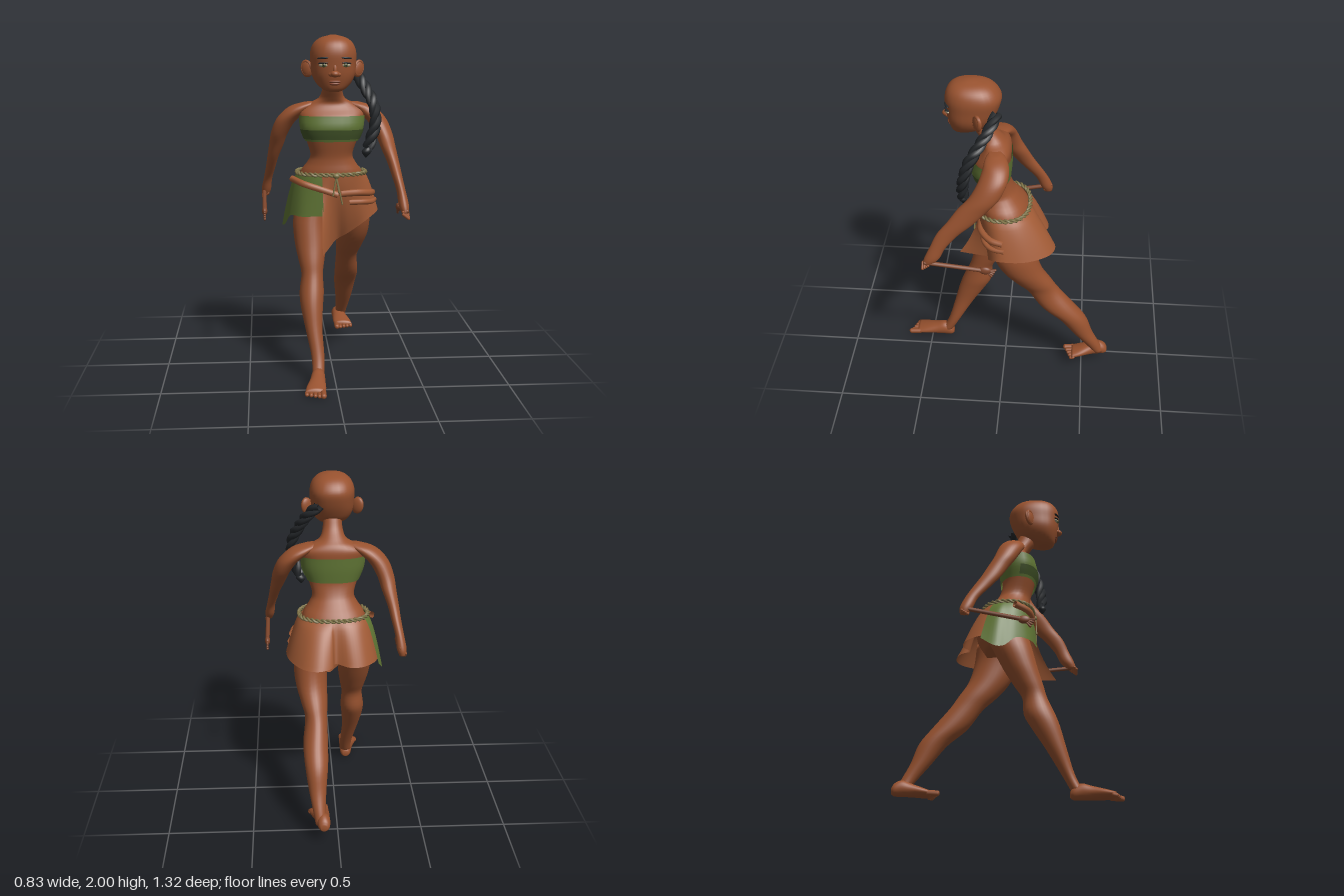
import * as THREE from 'three';

const mat = (name, color, side = THREE.FrontSide) => {
  const m = new THREE.MeshStandardMaterial({ color, side });
  m.name = name;
  return m;
};
const V = (x, y, z) => new THREE.Vector3(x, y, z);
const smooth = (pts, closed = false) => new THREE.CatmullRomCurve3(pts, closed, 'catmullrom', 0.5);
const bend = (c, power) => Math.sign(c) * Math.abs(c) ** (2 / power);

// Indexed grid of points, optionally flipped
function grid(rings, flip = false) {
  const n = rings[0].length, pos = [], idx = [];
  rings.forEach(r => r.forEach(p => pos.push(p.x, p.y, p.z)));
  for (let i = 0; i < rings.length - 1; i++) for (let j = 0; j < n - 1; j++) {
    const a = i * n + j, b = a + n;
    if (flip) idx.push(a, a + 1, b, b, a + 1, b + 1);
    else idx.push(a, b, a + 1, b, b + 1, a + 1);
  }
  const g = new THREE.BufferGeometry();
  g.setAttribute('position', new THREE.Float32BufferAttribute(pos, 3));
  g.setIndex(idx);
  g.computeVertexNormals();
  // Average normals across the seam of closed rings
  const N = g.attributes.normal;
  rings.forEach((r, i) => {
    if (r[0].distanceTo(r[n - 1]) > 1e-5) return;
    const a = i * n, b = a + n - 1;
    const v = V(N.getX(a) + N.getX(b), N.getY(a) + N.getY(b), N.getZ(a) + N.getZ(b)).normalize();
    N.setXYZ(a, v.x, v.y, v.z);
    N.setXYZ(b, v.x, v.y, v.z);
  });
  return g;
}

// Smooth loft through rows [x, y, z, radiusA, radiusB]; sections lie across y, or across z
function loft(rows, { axis = 'y', power = 2, caps = true, start = 0, span = Math.PI * 2 } = {}) {
  const steps = (rows.length - 1) * 4, segs = 28, rings = [];
  const mid = smooth(rows.map(r => V(r[0], r[1], r[2])));
  const rad = smooth(rows.map(r => V(r[3], r[4], 0)));
  const ring = (t, k) => {
    const c = mid.getPoint(t), s = rad.getPoint(t), out = [];
    for (let j = 0; j <= segs; j++) {
      const a = start + j / segs * span;
      const u = bend(Math.cos(a), power) * s.x * k, w = bend(Math.sin(a), power) * s.y * k;
      out.push(axis === 'y' ? V(c.x + u, c.y, c.z + w) : V(c.x + u, c.y + w, c.z));
    }
    return out;
  };
  if (caps) rings.push(ring(0, 0.001));
  for (let i = 0; i <= steps; i++) rings.push(ring(i / steps, 1));
  if (caps) rings.push(ring(1, 0.001));
  return grid(rings, axis === 'z');
}

// Strands twisted around a path
function twist(group, name, m, pts, closed, strands, offset, radius, turns, steps) {
  const path = smooth(pts, closed), fr = path.computeFrenetFrames(steps, closed);
  for (let s = 0; s < strands; s++) {
    const line = [];
    for (let i = 0; i < steps + (closed ? 0 : 1); i++) {
      const a = (i / steps * turns + s / strands) * Math.PI * 2;
      line.push(path.getPointAt(i / steps)
        .addScaledVector(fr.normals[i], Math.cos(a) * offset)
        .addScaledVector(fr.binormals[i], Math.sin(a) * offset));
    }
    add(group, name, new THREE.TubeGeometry(smooth(line, closed), steps * 2, radius, 6, closed), m);
  }
}

function add(group, name, geo, m, p = [0, 0, 0], s = [1, 1, 1], r = [0, 0, 0]) {
  const mesh = new THREE.Mesh(geo, m);
  mesh.name = name;
  mesh.position.set(...p);
  mesh.scale.set(...s);
  mesh.rotation.set(...r);
  group.add(mesh);
  return mesh;
}

export function createModel() {
  const root = new THREE.Group();
  const skin = mat('skin', 0x98522f), leather = mat('leather', 0xa05a35, THREE.DoubleSide), wood = mat('dark brown', 0x7f462c);
  const green = mat('green cloth', 0x5f7434, THREE.DoubleSide), dark = mat('dark green cloth', 0x435529, THREE.DoubleSide);
  const rope = mat('rope', 0x7f7448), hair = mat('black hair', 0x24272a);
  const white = mat('eye white', 0xa39b80), iris = mat('iris', 0x66683a), lip = mat('lips', 0x86452d);
  const ball = new THREE.SphereGeometry(1, 20, 14);
  const rod = (name, a, b, r, m = skin, g = root) => {
    const d = b.clone().sub(a), mesh = add(g, name, new THREE.CapsuleGeometry(r, d.length(), 4, 8), m);
    mesh.position.copy(a).add(b).multiplyScalar(0.5);
    mesh.quaternion.setFromUnitVectors(V(0, 1, 0), d.normalize());
  };

  // Torso and neck
  add(root, 'torso', loft([
    [0, 0.93, -0.02, 0.14, 0.1], [0, 1.05, -0.03, 0.19, 0.15], [0, 1.18, 0.005, 0.188, 0.142], [0, 1.25, 0.03, 0.145, 0.115],
    [0, 1.3, 0.05, 0.125, 0.098], [0, 1.38, 0.073, 0.147, 0.095], [0, 1.46, 0.079, 0.177, 0.107], [0, 1.52, 0.072, 0.19, 0.105],
    [0, 1.57, 0.053, 0.192, 0.086], [0, 1.605, 0.052, 0.135, 0.072], [0, 1.635, 0.073, 0.078, 0.066], [0, 1.69, 0.115, 0.058, 0.06],
    [0, 1.76, 0.15, 0.055, 0.06]], { power: 2.2 }), skin);

  // Chest wrap with a darker fold across the front
  add(root, 'chestWrap', loft([[0, 1.385, 0.073, 0.157, 0.105], [0, 1.46, 0.08, 0.187, 0.119], [0, 1.535, 0.072, 0.195, 0.113]],
    { caps: false, power: 2.3 }), green);
  add(root, 'chestWrapFold', loft([[0, 1.398, 0.075, 0.167, 0.112], [0, 1.427, 0.078, 0.179, 0.118], [0, 1.455, 0.081, 0.189, 0.122]],
    { caps: false, power: 2.3, start: 0.03, span: Math.PI - 0.06 }), dark);

  // Head
  add(root, 'head', loft([
    [0, 1.682, 0.245, 0.03, 0.03], [0, 1.695, 0.235, 0.062, 0.065], [0, 1.73, 0.207, 0.1, 0.107], [0, 1.78, 0.195, 0.124, 0.132],
    [0, 1.84, 0.185, 0.13, 0.15], [0, 1.9, 0.18, 0.132, 0.158], [0, 1.95, 0.185, 0.115, 0.137], [0, 1.983, 0.19, 0.077, 0.095],
    [0, 2, 0.195, 0.02, 0.025]], { power: 2.3 }), skin);
  add(root, 'nose', ball, skin, [0, 1.785, 0.33], [0.026, 0.019, 0.027]);
  add(root, 'noseBridge', ball, skin, [0, 1.815, 0.322], [0.014, 0.04, 0.017], [-0.15, 0, 0]);
  add(root, 'upperLip', ball, lip, [0, 1.742, 0.313], [0.036, 0.009, 0.014]);
  add(root, 'lowerLip', ball, lip, [0, 1.729, 0.309], [0.03, 0.009, 0.014]);
  for (const s of [-1, 1]) {
    add(root, 'nostril', ball, skin, [s * 0.022, 1.782, 0.32], [0.014, 0.013, 0.018]);
    add(root, 'eyeWhite', ball, white, [s * 0.064, 1.833, 0.317], [0.027, 0.01, 0.013], [0, s * 0.3, 0]);
    add(root, 'iris', ball, iris, [s * 0.062, 1.833, 0.325], [0.014, 0.011, 0.008], [0, s * 0.3, 0]);
    add(root, 'pupil', ball, hair, [s * 0.062, 1.833, 0.33], [0.006, 0.006, 0.005], [0, s * 0.3, 0]);
    add(root, 'lashes', ball, hair, [s * 0.065, 1.845, 0.319], [0.031, 0.005, 0.013], [0, s * 0.3, -s * 0.06]);
    add(root, 'eyebrow', ball, hair, [s * 0.066, 1.873, 0.321], [0.034, 0.006, 0.011], [0, s * 0.32, -s * 0.06]);
    add(root, 'ear', ball, skin, [s * 0.148, 1.808, 0.145], [0.04, 0.05, 0.018], [0, s * 0.6, -s * 0.25]);
    add(root, 'earRim', new THREE.TorusGeometry(0.034, 0.008, 6, 18), skin, [s * 0.151, 1.812, 0.15], [0.9, 1.15, 1], [0, s * 0.6, -s * 0.25]);
  }

  // Braid hanging over the left shoulder
  twist(root, 'braid', hair, [V(0.08, 1.835, 0.045), V(0.145, 1.77, 0.08), V(0.2, 1.68, 0.14), V(0.235, 1.6, 0.19),
    V(0.242, 1.5, 0.22), V(0.22, 1.42, 0.23), V(0.2, 1.36, 0.23)], false, 3, 0.016, 0.02, 2.7, 50);
  add(root, 'braidTip', loft([[0.186, 1.302, 0.23, 0.004, 0.004], [0.19, 1.335, 0.23, 0.028, 0.024], [0.198, 1.362, 0.23, 0.014, 0.014]]), hair);

  // Arms, each with a long rod held in the fist and small fingers at its far end
  const armX = [[1.01, 0.392, 0.02], [1.05, 0.387, 0.029], [1.12, 0.377, 0.026], [1.2, 0.36, 0.029], [1.27, 0.346, 0.034],
    [1.35, 0.325, 0.043], [1.42, 0.308, 0.05], [1.5, 0.27, 0.06], [1.555, 0.215, 0.071], [1.59, 0.165, 0.07], [1.612, 0.12, 0.04]];
  const armZ = {
    1: [[0.42, 0.03], [0.395, 0.044], [0.36, 0.046], [0.305, 0.062], [0.235, 0.075], [0.165, 0.085], [0.1, 0.085], [0.055, 0.082],
      [0.04, 0.075], [0.045, 0.06], [0.052, 0.03]],
    '-1': [[-0.24, 0.025], [-0.23, 0.037], [-0.2, 0.038], [-0.145, 0.048], [-0.095, 0.055], [-0.05, 0.06], [-0.01, 0.065], [0.022, 0.072],
      [0.038, 0.073], [0.045, 0.06], [0.052, 0.03]],
  };
  for (const s of [-1, 1]) {
    const side = s > 0 ? 'left' : 'right';
    add(root, side + 'Arm', loft(armX.map(([y, x, rx], i) => [s * x, y, armZ[s][i][0], rx, armZ[s][i][1]])), skin);
    const a = s > 0 ? V(0.4, 1.02, 0.435) : V(-0.4, 1.04, -0.235);
    const b = s > 0 ? V(0.4, 0.982, 0.09) : V(-0.4, 0.97, 0.1), dir = b.clone().sub(a).normalize();
    rod(side + 'Rod', a, b, 0.013, wood);
    add(root, side + 'EndPalm', ball, wood, b.toArray(), [0.016, 0.025, 0.035]);
    for (let i = 0; i < 4; i++) {
      rod(side + 'Knuckle', a.clone().add(V(-s * 0.022, 0.02 - i * 0.012, -0.02 + i * 0.012)),
        a.clone().add(V(s * 0.008, -0.015 - i * 0.008, -0.018 + i * 0.011)), 0.009);
      rod(side + 'EndFinger', b, b.clone().addScaledVector(dir, 0.06 - i * 0.008).add(V(0, 0.012 - i * 0.016, 0)), 0.007, wood);
    }
  }

  // Legs: right one forward, left one back
  add(root, 'rightLeg', loft([
    [-0.1, 0.05, 0.398, 0.034, 0.034], [-0.1, 0.15, 0.347, 0.038, 0.037], [-0.12, 0.3, 0.28, 0.05, 0.06], [-0.128, 0.42, 0.225, 0.066, 0.083],
    [-0.127, 0.5, 0.19, 0.072, 0.09], [-0.123, 0.6, 0.165, 0.064, 0.072], [-0.125, 0.68, 0.13, 0.078, 0.085], [-0.128, 0.78, 0.085, 0.095, 0.1],
    [-0.13, 0.9, 0.04, 0.1, 0.115], [-0.11, 1.02, 0, 0.095, 0.125], [-0.1, 1.1, 0, 0.07, 0.1]]), skin);
  add(root, 'leftLeg', loft([
    [0.1, 0.11, -0.605, 0.034, 0.034], [0.11, 0.18, -0.565, 0.038, 0.045], [0.117, 0.28, -0.5, 0.052, 0.06], [0.12, 0.4, -0.43, 0.068, 0.085],
    [0.122, 0.5, -0.335, 0.073, 0.105], [0.115, 0.62, -0.24, 0.066, 0.1], [0.125, 0.7, -0.175, 0.08, 0.115], [0.14, 0.8, -0.105, 0.095, 0.125],
    [0.14, 0.92, -0.06, 0.1, 0.135], [0.11, 1.04, -0.04, 0.09, 0.14]]), skin);
  const foot = (name, s, x, y, z, len) => {
    const g = new THREE.Group();
    g.name = name;
    add(g, 'sole', loft([[0, 0.034, 0, 0.02, 0.018], [0, 0.042, 0.02, 0.034, 0.038], [0.003, 0.05, 0.065, 0.04, 0.048],
      [0.009, 0.042, 0.12, 0.045, 0.04], [0.02, 0.031, 0.19, 0.056, 0.029], [0.028, 0.021, 0.25, 0.058, 0.019]], { axis: 'z' }), skin);
    for (let i = 0; i < 5; i++) {
      const tx = -0.016 + i * 0.023, r = i ? 0.012 : 0.017;
      rod('toe', V(tx, r + 0.004, 0.235), V(tx, r, 0.293 - i * 0.01), r, skin, g);
    }
    g.position.set(x, y, z);
    g.scale.set(s, 1, len / 0.31);
    root.add(g);
  };
  foot('rightFoot', -1, -0.1, 0, 0.355, 0.305);
  foot('leftFoot', 1, 0.085, 0.075, -0.66, 0.28);

  // Skirt panels hang from the waist oval; rows are [angle round the waist, hem x, y, z, flare power]
  const waist = (a, k = 1, y = 1.185) => V(0.2 * k * bend(Math.sin(a), 2.4), y, 0.01 + 0.153 * k * bend(Math.cos(a), 2.4));
  const panel = (name, m, rows) => {
    const hem = smooth(rows.map(r => V(r[1], r[2], r[3]))), ang = smooth(rows.map(r => V(r[0], r[4] ?? 0.75, 0)));
    const n = (rows.length - 1) * 4, rings = [];
    for (let i = 0; i <= n; i++) {
      const { x: a, y: e } = ang.getPoint(i / n), h = hem.getPoint(i / n), top = waist(a), col = [];
      for (let j = 0; j <= 10; j++) {
        const v = j / 10, p = top.clone().lerp(h, v ** e);
        p.y = THREE.MathUtils.lerp(top.y, h.y, v);
        col.push(p);
      }
      rings.push(col);
    }
    add(root, name, grid(rings, true), m);
  };
  panel('leatherSkirt', leather, [
    [-0.25, -0.067, 0.735, 0.295, 2.2], [-0.12, -0.02, 0.755, 0.17, 1.8], [0.05, 0.03, 0.78, 0.05, 1.6], [0.35, 0.1, 0.825, 0.07, 1.6],
    [0.8, 0.2, 0.9, 0.09, 1.1], [1.3, 0.278, 0.95, 0.03], [1.8, 0.282, 0.95, -0.08], [2.25, 0.25, 0.945, -0.18], [2.6, 0.18, 0.94, -0.275],
    [2.85, 0.095, 0.94, -0.305], [3.06, 0.02, 0.945, -0.27], [3.16, -0.005, 0.95, -0.215], [3.4, -0.09, 0.94, -0.255],
    [3.7, -0.17, 0.94, -0.24], [4, -0.235, 0.94, -0.175], [4.35, -0.265, 0.94, -0.1]]);
  panel('greenPanel', green, [
    [4.2, -0.262, 0.92, -0.15, 0.7], [4.5, -0.292, 0.86, -0.07, 0.6], [4.7, -0.275, 0.87, -0.01, 0.6], [4.95, -0.245, 0.935, 0.06, 0.6],
    [5.35, -0.18, 0.94, 0.145], [6.03, -0.055, 0.95, 0.185]]);

  // Gathered folds across the skirt front
  const fold = (pts, r) => add(root, 'skirtFold', new THREE.TubeGeometry(smooth(pts.map(p => V(...p))), 20, r, 8), leather);
  fold([[-0.235, 1.155, 0.05], [-0.17, 1.135, 0.135], [-0.07, 1.105, 0.16], [0.03, 1.07, 0.155]], 0.02);
  fold([[0.05, 1.075, 0.146], [0.15, 1.08, 0.135], [0.225, 1.07, 0.08], [0.25, 1.06, 0.0]], 0.02);
  fold([[0.1, 1.02, 0.128], [0.18, 1.02, 0.115], [0.238, 1.015, 0.07], [0.264, 1.015, -0.01]], 0.016);

  // Rope belt with knot and hanging cords
  const oval = Array.from({ length: 32 }, (_, i) => waist((i + 0.5) / 32 * Math.PI * 2, 1.02, 1.19));
  twist(root, 'ropeBelt', rope, oval, true, 2, 0.007, 0.0075, 18, 160);
  add(root, 'beltKnot', ball, rope, [0.02, 1.185, 0.175], [0.02, 0.016, 0.016]);
  for (const [x, y] of [[0.055, 1.02], [0.0, 1.07], [0.035, 1.09]])
    rod('beltCord', V(0.02, 1.18, 0.18), V(x, y, 0.185), 0.005, rope);

  return root;
}
